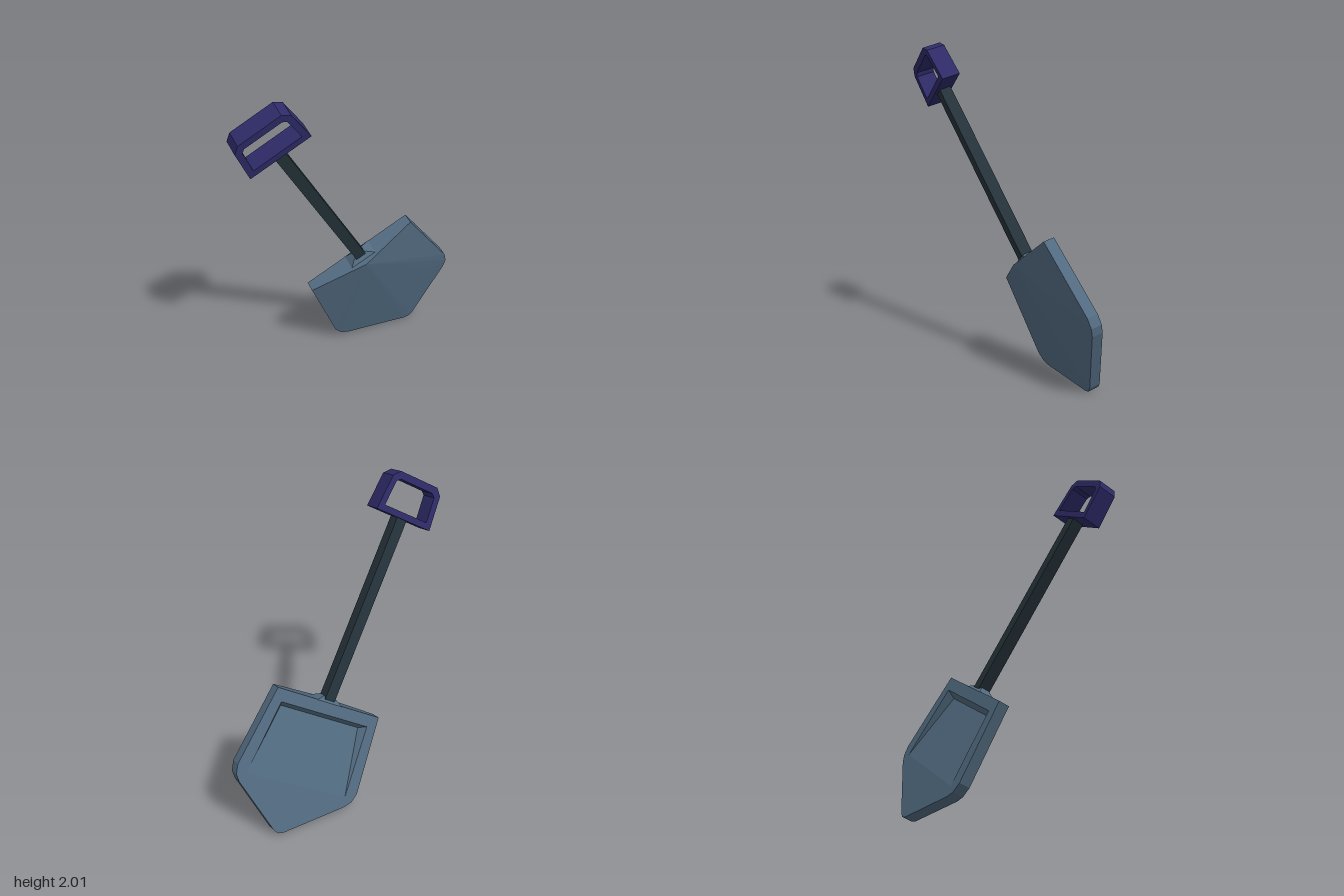
import * as THREE from 'three';
import { mergeGeometries } from 'three/addons/utils/BufferGeometryUtils.js';

const steel = new THREE.MeshStandardMaterial({ name: 'steel blue', color: 0x536c82, flatShading: true });
const dark = new THREE.MeshStandardMaterial({ name: 'dark slate', color: 0x25333a, flatShading: true });
const purple = new THREE.MeshStandardMaterial({ name: 'deep purple', color: 0x2e2b68, flatShading: true });

// Mirror a right-hand run of points to a closed outline (anticlockwise)
const v2 = (x, y) => new THREE.Vector2(x, y);
const mirrored = (right) => [
  ...right.map(([x, y]) => v2(x, y)).reverse(),
  ...right.filter(([x]) => x > 0).map(([x, y]) => v2(-x, y)),
].reverse();

// Flat-faced geometry from convex polygons
function polygons(list) {
  const pos = [];
  for (const poly of list)
    for (let i = 1; i < poly.length - 1; i++)
      for (const p of [poly[0], poly[i], poly[i + 1]]) pos.push(...p);
  const g = new THREE.BufferGeometry();
  g.setAttribute('position', new THREE.Float32BufferAttribute(pos, 3));
  g.computeVertexNormals();
  return g;
}

function bladeGeometry() {
  const zf = -0.229, zb = -0.3, zFloor = -0.252;
  const outline = mirrored([[0.378, 0.522], [0.442, 0.012], [0.426, -0.05], [0.39, -0.09], [0.036, -0.338], [0, -0.35]]);
  if (THREE.ShapeUtils.isClockWise(outline)) outline.reverse();
  const peak = [0, 0.522, -0.154];

  // Ridged front fan and outer rim
  const faces = [];
  outline.forEach((a, i) => {
    const b = outline[(i + 1) % outline.length];
    faces.push([peak, [a.x, a.y, zf], [b.x, b.y, zf]]);
    faces.push([[a.x, a.y, zf], [a.x, a.y, zb], [b.x, b.y, zb], [b.x, b.y, zf]]);
  });

  // Hollow in the back, deepest at the top
  const R = [[0.32, 0.445, zb], [-0.32, 0.445, zb], [-0.365, -0.03, zb], [0.365, -0.03, zb]];
  const F = [[0.29, 0.415, zFloor], [-0.29, 0.415, zFloor]];
  faces.push([F[0], R[3], R[2], F[1]], [F[0], F[1], R[1], R[0]], [F[1], R[2], R[1]], [F[0], R[0], R[3]]);

  // Flat back around the hollow
  const backShape = new THREE.Shape(outline);
  backShape.holes.push(new THREE.Path(R.map(([x, y]) => v2(x, y))));
  const back = new THREE.ShapeGeometry(backShape).rotateY(Math.PI).translate(0, 0, zb).toNonIndexed();
  back.deleteAttribute('uv');
  return mergeGeometries([polygons(faces), back]);
}

function handleGeometry() {
  const shape = new THREE.Shape(mirrored([[0.202, 1.714], [0.182, 1.93], [0.14, 1.971]]));
  shape.holes.push(new THREE.Path(mirrored([[0.16, 1.753], [0.145, 1.908], [0.122, 1.927]])));
  return new THREE.ExtrudeGeometry(shape, { depth: 0.12, bevelEnabled: false }).translate(0, 0, -0.31);
}

export function createModel() {
  const model = new THREE.Group();
  model.name = 'shovel';
  const tool = new THREE.Group();
  tool.name = 'leaningShovel';
  // Lean forward, then sideways
  tool.rotation.set(THREE.MathUtils.degToRad(16.7), 0, THREE.MathUtils.degToRad(31), 'ZXY');
  model.add(tool);

  const add = (name, geometry, material) => {
    const mesh = new THREE.Mesh(geometry, material);
    mesh.name = name;
    mesh.position.x = 0.46;
    tool.add(mesh);
  };

  add('blade', bladeGeometry(), steel);
  // Low collar where the shaft meets the blade
  add('socket', new THREE.CylinderGeometry(0.06, 0.13, 0.03, 4).rotateY(Math.PI / 4)
    .scale(1, 1, 0.6).translate(0, 0.535, -0.248), steel);
  add('shaft', new THREE.BoxGeometry(0.07, 1.2, 0.076).translate(0, 1.123, -0.252), dark);
  add('handle', handleGeometry(), purple);
  return model;
}
